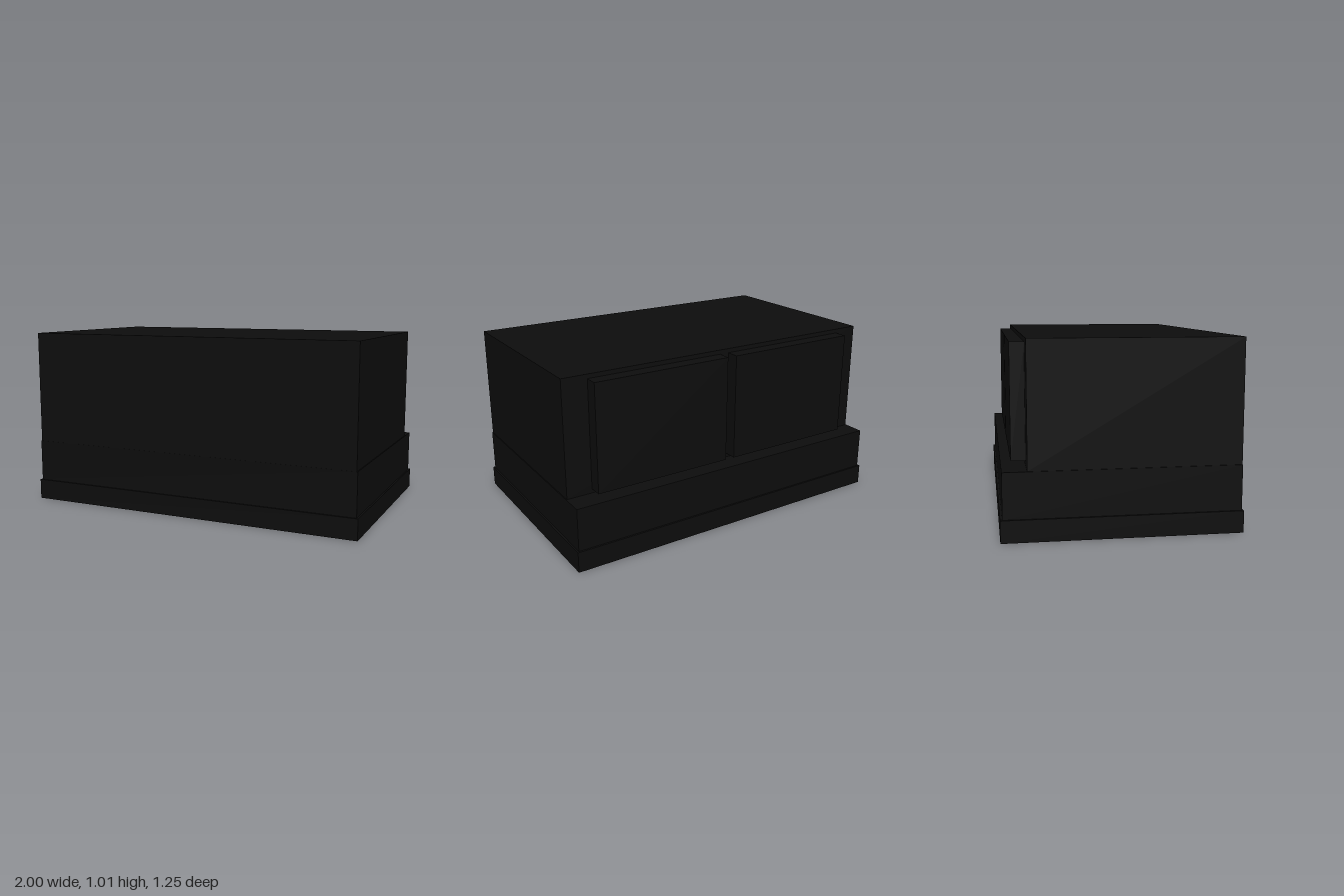
import * as THREE from 'three';

const black = new THREE.MeshStandardMaterial({ color: 0x0d0d0d });
black.name = 'black';

// Box given by its extents on each axis
function block(name, [x0, x1], [y0, y1], [z0, z1]) {
  const mesh = new THREE.Mesh(new THREE.BoxGeometry(x1 - x0, y1 - y0, z1 - z0), black);
  mesh.name = name;
  mesh.position.set((x0 + x1) / 2, (y0 + y1) / 2, (z0 + z1) / 2);
  return mesh;
}

export function createModel() {
  const model = new THREE.Group();
  model.name = 'cabinet';

  // Stepped body, from the floor up
  model.add(block('plinth', [-1, 1], [0, 0.117], [-0.626, 0.626]));
  model.add(block('lowerBody', [-0.99, 0.99], [0.117, 0.358], [-0.615, 0.617]));
  model.add(block('upperBody', [-0.985, 0.985], [0.358, 1.013], [-0.488, 0.616]));

  // Pair of raised panels on the back, above the ledge
  model.add(block('leftBackPanel', [0.028, 0.84], [0.382, 0.989], [-0.564, -0.488]));
  model.add(block('rightBackPanel', [-0.84, -0.028], [0.382, 0.989], [-0.564, -0.488]));

  return model;
}
